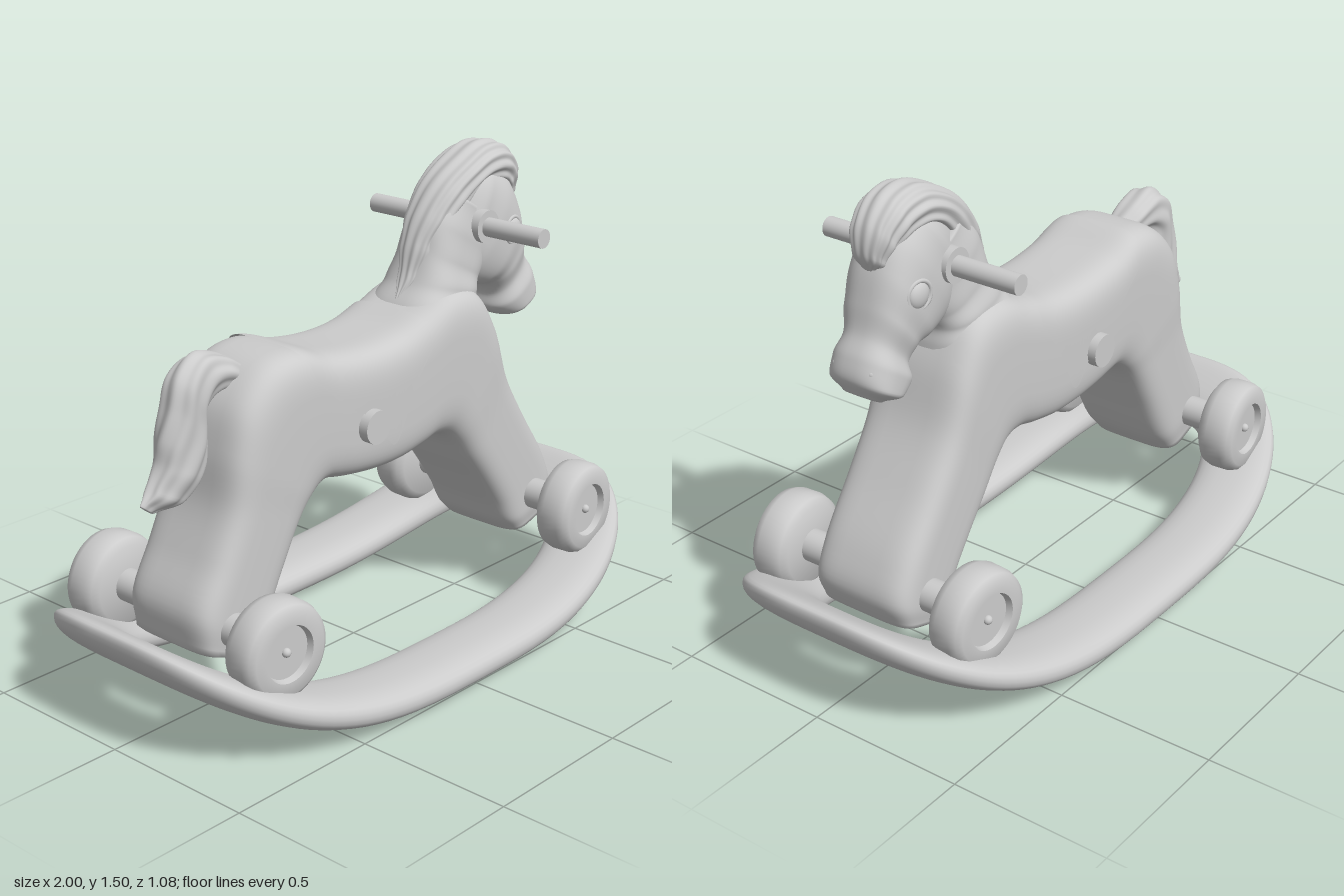
import * as THREE from 'three';
import { mergeVertices, toCreasedNormals } from 'three/addons/utils/BufferGeometryUtils.js';

const grey = new THREE.MeshStandardMaterial({ color: 0xcccccc, side: THREE.DoubleSide });

function add(parent, name, geometry, x = 0, y = 0, z = 0) {
  const mesh = new THREE.Mesh(geometry, grey);
  mesh.name = name;
  mesh.position.set(x, y, z);
  parent.add(mesh);
  return mesh;
}

// Smooth grid surface from fn(row, column) -> [x, y, z]
function surface(fn, rows, cols) {
  const pos = [], index = [];
  for (let i = 0; i <= rows; i++) {
    for (let j = 0; j <= cols; j++) {
      pos.push(...fn(i, j));
      if (i === rows || j === cols) continue;
      const a = i * (cols + 1) + j, c = a + cols + 1;
      index.push(a, a + 1, c, a + 1, c + 1, c);
    }
  }
  let g = new THREE.BufferGeometry();
  g.setAttribute('position', new THREE.Float32BufferAttribute(pos, 3));
  g.setIndex(index);
  g = mergeVertices(g, 1e-5);
  g.computeVertexNormals();
  return g;
}

const power = (v, n) => Math.sign(v) * Math.abs(v) ** (2 / n);

// Section list [outerX, outerY, innerX, innerY, halfWidth] -> point at (u, angle, scale)
function sweep(list, n, ripple = 0, strands = 0, twist = 0) {
  const curve = (f) => new THREE.CatmullRomCurve3(list.map(f), false, 'centripetal');
  const outer = curve((s) => new THREE.Vector3(s[0], s[1], 0));
  const inner = curve((s) => new THREE.Vector3(s[2], s[3], 0));
  return (u, angle, scale = 1) => {
    const o = outer.getPoint(u), i = inner.getPoint(u);
    const f = u * (list.length - 1), k = Math.min(Math.floor(f), list.length - 2);
    const t = f - k, e = t * t * (3 - 2 * t);
    const w = list[k][4] * (1 - e) + list[k + 1][4] * e;
    const s = scale * (1 + ripple * Math.cos(strands * angle + twist * Math.sin(u * 9)));
    const c = power(Math.cos(angle), n) * s / 2;
    return [(o.x + i.x) / 2 + (o.x - i.x) * c, (o.y + i.y) / 2 + (o.y - i.y) * c,
      w * power(Math.sin(angle), n) * s];
  };
}

// Closed loft of a sweep, with softly rounded flat ends
function loft(at, rows = 70, cols = 48) {
  const ends = [0, 0.5, 0.9];
  return surface((i, j) => {
    const k = Math.min(i, rows - i);
    const u = Math.min(1, Math.max(0, (i - 2.6) / (rows - 5.2)));
    return at(k < 3 ? Math.round(u) : u, ((j % cols) / cols) * Math.PI * 2, k < 3 ? ends[k] : 1);
  }, rows, cols);
}

const BODY_N = 4.5;
const body = sweep([
  [-0.79, 0.26, -0.60, 0.19, 0.165], [-0.80, 0.38, -0.53, 0.27, 0.175],
  [-0.73, 0.52, -0.44, 0.44, 0.175], [-0.67, 0.66, -0.37, 0.56, 0.175],
  [-0.645, 0.82, -0.32, 0.61, 0.178], [-0.60, 0.95, -0.28, 0.63, 0.178],
  [-0.50, 1.04, -0.25, 0.63, 0.178], [-0.38, 1.06, -0.21, 0.62, 0.178],
  [-0.25, 1.02, -0.15, 0.61, 0.178], [-0.08, 1.00, -0.05, 0.60, 0.178],
  [0.06, 1.01, 0.05, 0.60, 0.178], [0.17, 1.045, 0.15, 0.615, 0.178],
  [0.30, 1.09, 0.22, 0.63, 0.178], [0.42, 1.07, 0.28, 0.62, 0.178],
  [0.50, 0.96, 0.33, 0.58, 0.178], [0.57, 0.77, 0.39, 0.50, 0.175],
  [0.66, 0.62, 0.46, 0.41, 0.175], [0.78, 0.44, 0.53, 0.31, 0.175],
  [0.82, 0.33, 0.57, 0.24, 0.175], [0.79, 0.24, 0.62, 0.19, 0.165],
], BODY_N);

const neck = sweep([
  [0.14, 0.88, 0.50, 0.86, 0.16], [0.17, 1.03, 0.49, 0.99, 0.155],
  [0.23, 1.11, 0.485, 1.04, 0.13], [0.27, 1.20, 0.51, 1.08, 0.112],
  [0.30, 1.29, 0.56, 1.14, 0.105], [0.37, 1.38, 0.58, 1.25, 0.09],
], 2.8);

const head = sweep([
  [0.48, 1.43, 0.36, 1.22, 0.07], [0.58, 1.43, 0.40, 1.13, 0.105],
  [0.66, 1.38, 0.46, 1.07, 0.115], [0.705, 1.30, 0.53, 1.04, 0.115],
  [0.735, 1.20, 0.585, 1.03, 0.105], [0.755, 1.12, 0.615, 0.99, 0.09],
  [0.79, 1.06, 0.615, 0.945, 0.108], [0.805, 1.00, 0.655, 0.915, 0.108],
  [0.78, 0.945, 0.72, 0.91, 0.06],
], 2.5);

const mane = sweep([
  [0.19, 1.06, 0.23, 1.06, 0.012], [0.225, 1.13, 0.30, 1.13, 0.04],
  [0.25, 1.22, 0.35, 1.20, 0.06], [0.29, 1.31, 0.41, 1.26, 0.078],
  [0.36, 1.40, 0.46, 1.31, 0.086], [0.45, 1.46, 0.51, 1.35, 0.09],
  [0.55, 1.495, 0.56, 1.36, 0.088], [0.65, 1.48, 0.61, 1.35, 0.082],
  [0.715, 1.42, 0.645, 1.33, 0.07], [0.73, 1.34, 0.67, 1.30, 0.05],
  [0.705, 1.28, 0.69, 1.275, 0.015],
], 2.2, 0.05, 12, 2);

const tail = sweep([
  [-0.87, 0.70, -0.83, 0.668, 0.012], [-0.835, 0.74, -0.72, 0.68, 0.045],
  [-0.80, 0.80, -0.66, 0.74, 0.06], [-0.79, 0.87, -0.63, 0.81, 0.06],
  [-0.765, 0.95, -0.635, 0.87, 0.06], [-0.73, 1.04, -0.64, 0.92, 0.062],
  [-0.65, 1.09, -0.61, 0.96, 0.06], [-0.56, 1.07, -0.56, 0.97, 0.058],
  [-0.49, 1.03, -0.51, 0.95, 0.05],
], 2.2, 0.06, 7, 2);

// Saddle cloth draped over the back, its flaps dipping around the side buttons
function saddleGeometry() {
  const rows = 60, cols = 60;
  return surface((i, j) => {
    const s = i / rows;
    const h = 0.55 - 0.5 * Math.sin(Math.PI * s) - 0.62 * Math.exp(-(((s - 0.62) / 0.14) ** 2));
    const limit = Math.acos(Math.sign(h) * Math.abs(h) ** (BODY_N / 2));
    return body((7 + 3.9 * s) / 19, limit * (2 * j / cols - 1), 1.025);
  }, rows, cols);
}

// Oval rocker ring, bent upwards towards both ends
function rockerGeometry() {
  const rows = 128, cols = 28;
  return surface((i, j) => {
    const t = ((i % rows) / rows) * Math.PI * 2, p = ((j % cols) / cols) * Math.PI * 2;
    const k = (1 + power(Math.cos(p), 2.4)) / 2;
    const x = power(Math.cos(t), 3.2) * (0.82 + 0.18 * k);
    const z = power(Math.sin(t), 3.2) * (0.29 + 0.25 * k);
    return [x, 0.055 + 0.28 * Math.abs(x) ** 3 + 0.055 * power(Math.sin(p), 2.4), z];
  }, rows, cols);
}

// Round peg along z
const peg = (r, length) => new THREE.CylinderGeometry(r, r, length, 32).rotateX(Math.PI / 2);

function wheelGeometry() {
  const profile = [[0, -0.06], [0.12, -0.06], [0.142, -0.045], [0.15, -0.02], [0.15, 0.03],
    [0.142, 0.053], [0.125, 0.065], [0.086, 0.065], [0.08, 0.045], [0, 0.045]];
  const g = new THREE.LatheGeometry(profile.map(([r, y]) => new THREE.Vector2(r, y)), 48);
  return toCreasedNormals(g.rotateX(Math.PI / 2), 0.7);
}

export function createModel() {
  const model = new THREE.Group();
  model.name = 'rockingHorse';

  add(model, 'rocker', rockerGeometry());
  add(model, 'bodyAndLegs', loft(body, 120, 56));
  add(model, 'saddle', saddleGeometry());
  add(model, 'neck', loft(neck));
  add(model, 'head', loft(head));
  add(model, 'mane', loft(mane, 90, 96));
  add(model, 'tail', loft(tail, 70, 64));
  add(model, 'handlebar', peg(0.03, 0.68), 0.48, 1.255, 0);
  add(model, 'handlebarCollar', peg(0.052, 0.25), 0.48, 1.255, 0);
  add(model, 'sideButtons', peg(0.052, 0.42), -0.12, 0.78, 0);

  // Eyes and nostrils
  for (const side of [1, -1]) {
    const eye = add(model, 'eye', new THREE.SphereGeometry(0.04, 24, 16), 0.625, 1.215, 0.104 * side);
    eye.scale.z = 0.5;
    const rim = add(model, 'eyelid', new THREE.TorusGeometry(0.042, 0.007, 10, 32), 0.625, 1.215, 0.107 * side);
    rim.rotation.y = 0.15 * side;
    add(model, 'nostril', new THREE.SphereGeometry(0.016, 16, 12), 0.775, 1.025, 0.06 * side);
  }

  // Axles and slightly toed-in wheels
  for (const end of [1, -1]) {
    add(model, 'axle', peg(0.05, 0.6), 0.69 * end, 0.32, 0);
    for (const side of [1, -1]) {
      const wheel = new THREE.Group();
      wheel.name = 'wheel';
      wheel.position.set(0.69 * end, 0.32, 0.335 * side);
      wheel.rotation.y = (side < 0 ? Math.PI : 0) + 0.07 * end * side;
      add(wheel, 'tyre', wheelGeometry());
      add(wheel, 'hubCap', new THREE.SphereGeometry(0.014, 16, 12), 0, 0, 0.047);
      model.add(wheel);
    }
  }
  return model;
}
